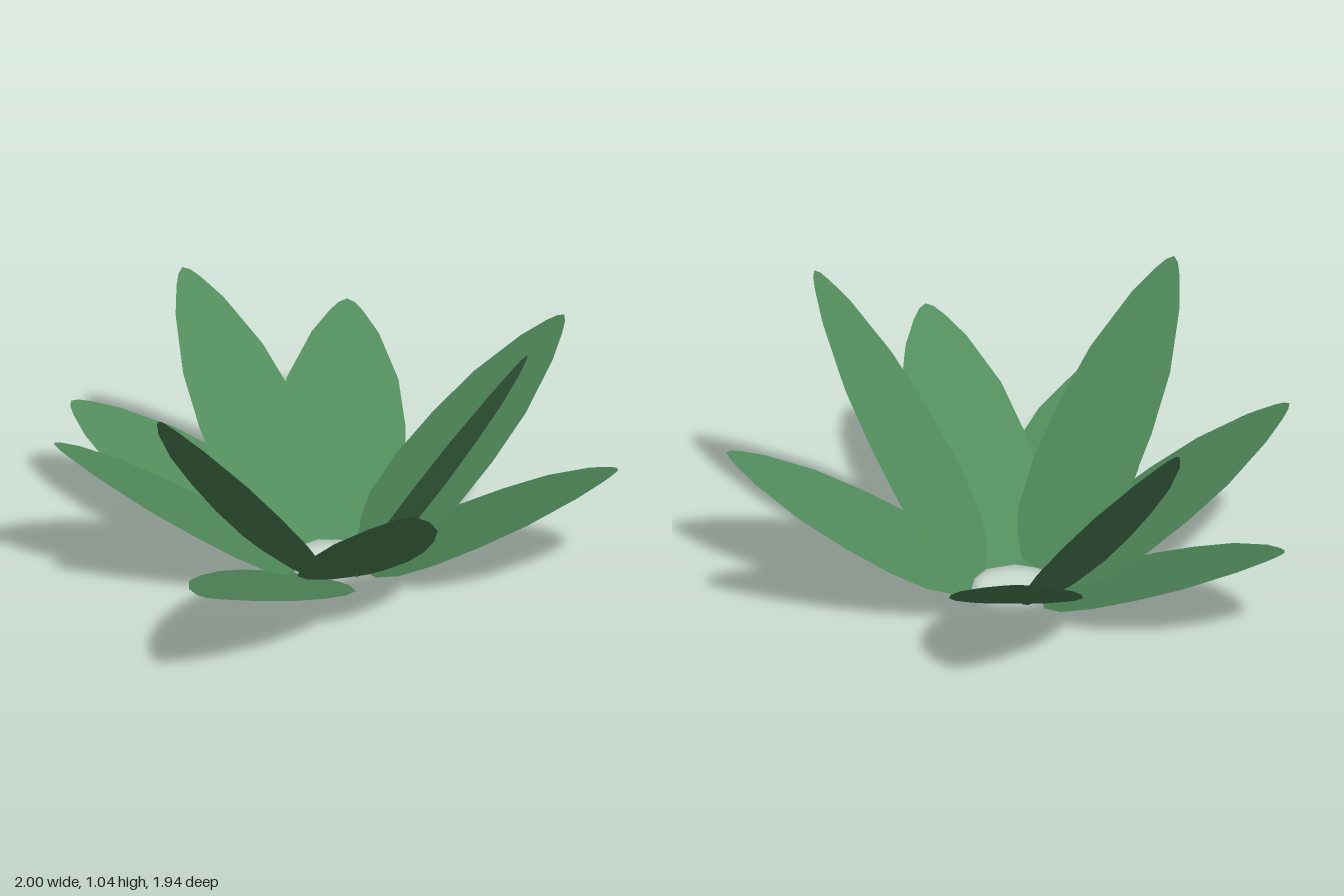
import * as THREE from 'three';

// Half outline of a leaf: [fraction of length, fraction of half width]
const OUTLINE = [
  [0, 0.35], [0.04, 0.6], [0.15, 0.89], [0.3, 1], [0.48, 0.97],
  [0.67, 0.83], [0.86, 0.5], [0.95, 0.25], [0.985, 0.12],
];

// Leaf tips, from the lowest leaf to the steepest
const TIPS = [
  [-0.09, 0.36, -0.97], [-1, 0.405, 0.43], [0.62, 0.455, 0.965], [0.92, 0.51, -0.55],
  [-0.7, 0.575, -0.53], [-0.43, 0.65, 0.88], [1, 0.73, 0.39], [0.27, 0.82, -0.76],
  [-0.83, 0.92, 0.08], [0.22, 1.04, 0.88],
];

const CENTRE = new THREE.Vector3(0.11, 0, 0.07);
const BASE_RADIUS = 0.15;

// Flat pointed-oval blade standing on the origin along +y
function bladeGeometry(length, halfWidth) {
  const right = OUTLINE.map(([t, w]) => new THREE.Vector2(w * halfWidth, t * length));
  const left = right.map((p) => new THREE.Vector2(-p.x, p.y)).reverse();
  return new THREE.ShapeGeometry(new THREE.Shape([...right, new THREE.Vector2(0, length), ...left]));
}

export function createModel() {
  const group = new THREE.Group();
  group.name = 'leafRosette';
  const leafGreen = new THREE.MeshStandardMaterial({ color: 0x528c5c, side: THREE.DoubleSide });
  leafGreen.name = 'leafGreen';
  const up = new THREE.Vector3(0, 1, 0);

  TIPS.forEach((t, i) => {
    // Each leaf starts on a small ring round the centre and leans out to its tip
    const tip = new THREE.Vector3(...t);
    const base = tip.clone().sub(CENTRE).setY(0).setLength(BASE_RADIUS).add(CENTRE);
    const along = tip.clone().sub(base);
    const length = along.length();
    along.normalize();
    const across = along.clone().cross(up).normalize();
    const normal = across.clone().cross(along);

    // Steeper leaves are narrower
    const leaf = new THREE.Mesh(bladeGeometry(length, 0.27 - 0.064 * tip.y), leafGreen);
    leaf.name = `leaf${i + 1}`;
    leaf.quaternion.setFromRotationMatrix(new THREE.Matrix4().makeBasis(across, along, normal));
    leaf.position.copy(base);
    group.add(leaf);
  });
  return group;
}
